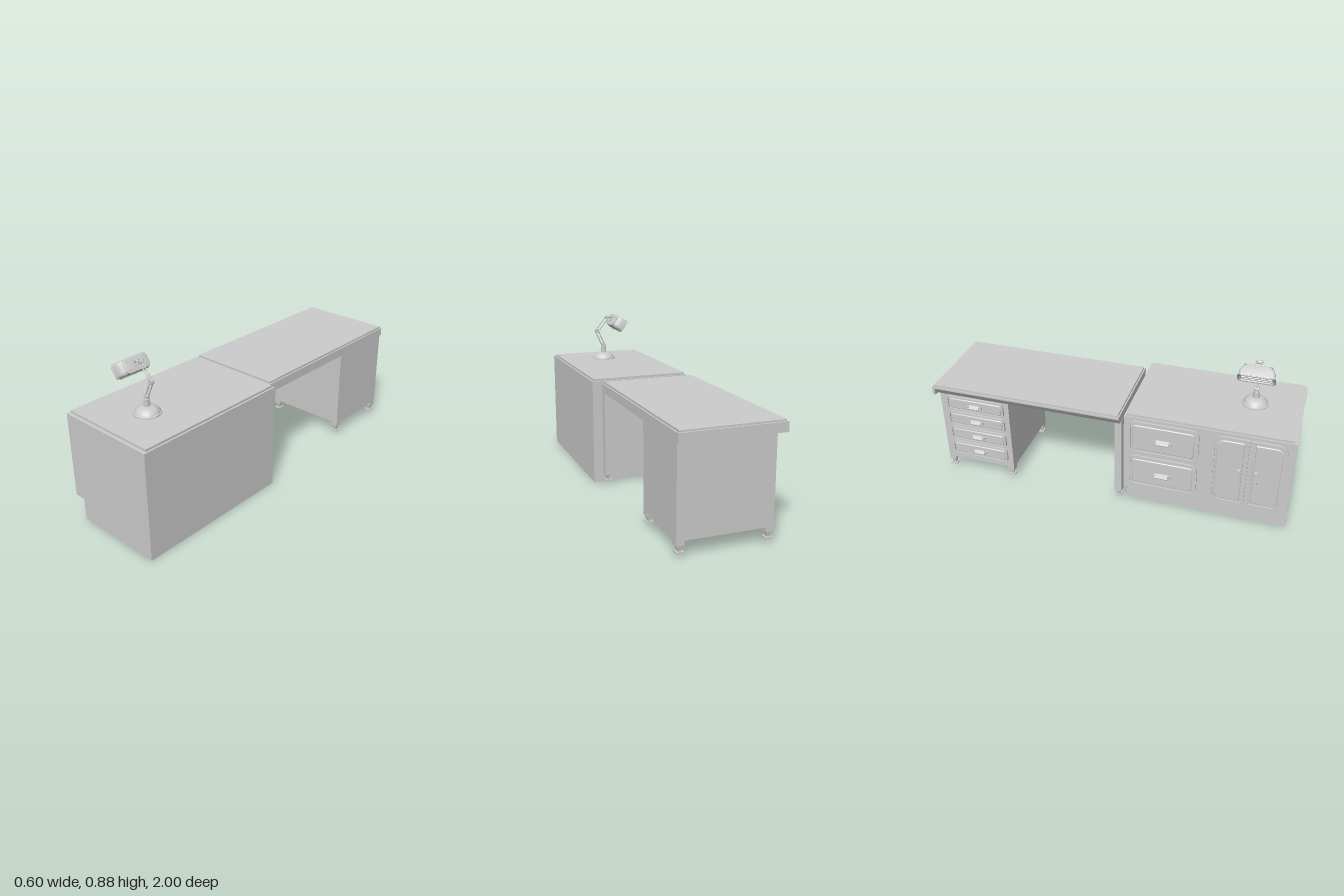
import * as THREE from 'three';
import { toCreasedNormals } from 'three/addons/utils/BufferGeometryUtils.js';

const mat = new THREE.MeshStandardMaterial({ color: 0xcccccc, side: THREE.DoubleSide });

function add(parent, name, geo) {
  const m = new THREE.Mesh(geo, mat);
  m.name = name;
  parent.add(m);
  return m;
}
function group(parent, name) {
  const g = new THREE.Group();
  g.name = name;
  parent.add(g);
  return g;
}
// box given by its limits
function box(parent, name, x0, x1, y0, y1, z0, z1) {
  const m = add(parent, name, new THREE.BoxGeometry(x1 - x0, y1 - y0, z1 - z0));
  m.position.set((x0 + x1) / 2, (y0 + y1) / 2, (z0 + z1) / 2);
  return m;
}
// x-y profile drawn out along z
function prism(parent, name, pts, z0, z1) {
  const shape = new THREE.Shape(pts.map(p => new THREE.Vector2(...p)));
  const m = add(parent, name, new THREE.ExtrudeGeometry(shape, { depth: z1 - z0, bevelEnabled: false }));
  m.position.z = z0;
  return m;
}
// rod between two points
function rod(parent, name, a, b, r) {
  const A = new THREE.Vector3(...a), B = new THREE.Vector3(...b);
  const m = add(parent, name, new THREE.CylinderGeometry(r, r, A.distanceTo(B), 8));
  m.position.copy(A).lerp(B, 0.5);
  m.quaternion.setFromUnitVectors(new THREE.Vector3(0, 1, 0), B.sub(A).normalize());
  return m;
}
// outline of a rounded rectangle, corner radii [bottom start, bottom end, top end, top start]
function roundRect(x0, x1, y0, y1, radii) {
  const pts = [];
  const corners = [[x0, y0, 1, 1], [x1, y0, -1, 1], [x1, y1, -1, -1], [x0, y1, 1, -1]];
  corners.forEach(([x, y, sx, sy], k) => {
    const r = radii[k], steps = r > 0 ? 6 : 0;
    for (let i = 0; i <= steps; i++) {
      const a = Math.PI * (1 + k / 2) + (steps ? i / steps : 0) * Math.PI / 2;
      pts.push(new THREE.Vector2(x + r * (sx + Math.cos(a)), y + r * (sy + Math.sin(a))));
    }
  });
  return pts;
}
// drawer or door front on the -x side: raised frame around a raised field
function frontPanel(parent, name, face, z0, z1, y0, y1, radii, rim) {
  const g = group(parent, name);
  const outline = d => roundRect(z0 + d, z1 - d, y0 + d, y1 - d, radii.map(r => Math.max(0, r - d)));
  const part = (n, shape, depth, bevel) => {
    const geo = new THREE.ExtrudeGeometry(shape, {
      depth, bevelEnabled: bevel > 0,
      bevelSize: bevel, bevelThickness: bevel, bevelOffset: -bevel, bevelSegments: 1 });
    const m = add(g, n, toCreasedNormals(geo, 0.6));
    m.rotation.y = -Math.PI / 2;
    m.position.x = face;
  };
  const frame = new THREE.Shape(outline(0));
  frame.holes.push(new THREE.Path(outline(rim)));
  part('panelBack', new THREE.Shape(outline(0.002)), 0.005, 0);
  part('panelFrame', frame, 0.012, 0);
  part('panelField', new THREE.Shape(outline(rim * 1.7)), 0.006, 0.004);
}
// hooded pull for drawers
function cupPull(parent, x, y, z, w, h) {
  const g = group(parent, 'drawerPull');
  prism(g, 'pullHood', [[0, h * 0.6], [-0.005, h * 0.6], [-0.017, -h * 0.2], [-0.015, -h * 0.4], [0, -h * 0.1]], -w / 2, w / 2);
  for (const s of [-1, 1]) box(g, 'pullTab', -0.007, 0, -h * 0.3, h * 0.4, s * w * 0.6 - 0.006, s * w * 0.6 + 0.006);
  g.position.set(x, y, z);
}
// upright bar handle for doors
function barHandle(parent, x, y, z) {
  const g = group(parent, 'doorHandle');
  box(g, 'handlePlate', x - 0.006, x, y - 0.037, y + 0.037, z - 0.012, z + 0.012);
  box(g, 'handleBar', x - 0.022, x - 0.016, y - 0.037, y + 0.037, z - 0.008, z + 0.008);
  for (const s of [-1, 1]) box(g, 'handlePost', x - 0.017, x, y + s * 0.033 - 0.004, y + s * 0.033 + 0.004, z - 0.008, z + 0.008);
}
// tapered square foot on a plate
function foot(parent, x, z) {
  const g = group(parent, 'foot');
  const stem = add(g, 'footStem', new THREE.CylinderGeometry(0.02, 0.012, 0.032, 4).toNonIndexed());
  stem.geometry.computeVertexNormals();
  stem.rotation.y = Math.PI / 4;
  stem.position.y = 0.042;
  box(g, 'footPlate', -0.019, 0.019, 0.02, 0.027, -0.019, 0.019);
  g.position.set(x, 0, z);
}

function cabinet(root) {
  const g = group(root, 'cabinet');
  prism(g, 'cabinetBody', [[0.3, 0], [0.3, 0.593], [-0.27, 0.593], [-0.27, 0.12], [-0.205, 0.12], [-0.205, 0]], 0.105, 1);
  box(g, 'cabinetTop', -0.262, 0.29, 0.593, 0.605, 0.115, 0.982);
  for (const [y0, y1] of [[0.155, 0.355], [0.375, 0.575]]) {
    frontPanel(g, 'cabinetDrawer', -0.27, 0.13, 0.51, y0, y1, [0.04, 0.04, 0.04, 0.04], 0.014);
    cupPull(g, -0.28, (y0 + y1) / 2 - 0.008, 0.32, 0.07, 0.026);
  }
  frontPanel(g, 'innerDoor', -0.27, 0.58, 0.768, 0.155, 0.575, [0.06, 0, 0, 0.06], 0.014);
  frontPanel(g, 'outerDoor', -0.27, 0.777, 0.965, 0.155, 0.575, [0, 0.06, 0.06, 0], 0.014);
  for (const z of [0.728, 0.817]) barHandle(g, -0.279, 0.353, z);
}

function desk(root) {
  const g = group(root, 'desk');
  // top with a slanted lip on the drawer side
  prism(g, 'deskTop', [[0.25, 0.535], [0.25, 0.585], [-0.295, 0.585], [-0.295, 0.575], [-0.265, 0.535]], -0.988, 0.083);
  box(g, 'deskEndLip', -0.295, 0.25, 0.537, 0.587, -1, -0.985);
  box(g, 'deskSurface', -0.287, 0.242, 0.585, 0.596, -0.99, 0.075);
  // solid end panel and drawer pedestal, each on short corner blocks and feet
  box(g, 'endPanel', -0.245, 0.25, 0.08, 0.536, 0.045, 0.085);
  box(g, 'pedestal', -0.245, 0.25, 0.105, 0.536, -0.985, -0.57);
  for (const [z0, z1] of [[-0.985, -0.97], [-0.585, -0.57]]) box(g, 'pedestalRim', -0.245, 0.25, 0.08, 0.106, z0, z1);
  for (const [x0, x1] of [[-0.245, -0.23], [0.235, 0.25]]) box(g, 'pedestalRim', x0, x1, 0.08, 0.106, -0.985, -0.57);
  for (const [z0, top] of [[0.045, 0.08], [-0.61, 0.106], [-0.985, 0.106]])
    for (const x0 of [-0.245, 0.21]) {
      box(g, 'cornerBlock', x0, x0 + 0.04, 0.057, top, z0, z0 + 0.04);
      foot(g, x0 + 0.02, z0 + 0.02);
    }
  // stack of four drawers
  for (let i = 0; i < 4; i++) {
    const y = 0.115 + i * 0.103;
    frontPanel(g, 'deskDrawer', -0.245, -0.945, -0.6, y, y + 0.093, [0.025, 0.025, 0.025, 0.025], 0.009);
    cupPull(g, -0.255, y + 0.042, -0.772, 0.06, 0.022);
  }
}

// rounded rectangles joined along x, sections are [along, width, height]
function loft(sections, radius) {
  const pos = [], idx = [];
  sections.forEach(([t, w, h], k) => {
    const r = Math.min(radius, h / 2.2);
    const pts = roundRect(-w / 2, w / 2, -h / 2, h / 2, [r, r, r, r]);
    const n = pts.length;
    for (const p of pts) pos.push(t, p.y, -p.x);
    if (k) for (let i = 0; i < n; i++) {
      const a = (k - 1) * n + i, b = (k - 1) * n + (i + 1) % n;
      idx.push(a, b, b + n, a, b + n, a + n);
    }
  });
  const geo = new THREE.BufferGeometry();
  geo.setAttribute('position', new THREE.Float32BufferAttribute(pos, 3));
  geo.setIndex(idx);
  return toCreasedNormals(geo, 0.6);
}

function lamp(root) {
  const g = group(root, 'lamp');
  g.position.z = 0.745;
  const profile = [[0, 0.605], [0.072, 0.605], [0.072, 0.611], [0.066, 0.613], [0.06, 0.624], [0.048, 0.635], [0.032, 0.642],
    [0.017, 0.644], [0.015, 0.68], [0.012, 0.682], [0.012, 0.694], [0, 0.694]];
  const base = add(g, 'lampBase', toCreasedNormals(new THREE.LatheGeometry(profile.map(p => new THREE.Vector2(...p)), 32), 0.6));
  base.position.x = 0.033;
  // paired arms with pivots
  const arms = [[[0.025, 0.69], [0.066, 0.782]], [[0.045, 0.69], [0.086, 0.782]],
    [[0.068, 0.778], [0.0, 0.862]], [[0.086, 0.787], [0.016, 0.874]]];
  for (const [a, b] of arms) rod(g, 'lampArm', [...a, 0], [...b, 0], 0.0035);
  for (const [x, y, r] of [[0.034, 0.692, 0.011], [0.076, 0.784, 0.013], [0.008, 0.868, 0.011]])
    rod(g, 'lampPivot', [x, y, -0.01], [x, y, 0.01], r);
  for (const z of [-0.014, 0.014]) {
    rod(g, 'headBracket', [0.01, 0.87, z], [-0.016, 0.875, z], 0.005);
    rod(g, 'headBracket', [-0.016, 0.875, z], [-0.02, 0.852, z], 0.005);
  }
  rod(g, 'headPin', [0.008, 0.868, -0.018], [0.008, 0.868, 0.018], 0.004);
  // hollow shade tilted down towards -x
  const head = group(g, 'lampHead');
  head.position.set(-0.08, 0.813, 0);
  head.rotation.z = 0.62;
  add(head, 'shade', loft([[0.012, 0.17, 0.064], [0.002, 0.184, 0.072], [0, 0.195, 0.084], [0.007, 0.195, 0.084], [0.008, 0.188, 0.077],
    [0.035, 0.182, 0.079], [0.052, 0.165, 0.076], [0.062, 0.142, 0.072], [0.063, 0.146, 0.075], [0.069, 0.146, 0.075],
    [0.071, 0.13, 0.062], [0.072, 0.002, 0.002]], 0.02));
  box(head, 'diffuser', 0.01, 0.014, -0.032, 0.032, -0.084, 0.084);
  for (const y of [-0.02, 0, 0.02]) box(head, 'diffuserRib', 0.004, 0.012, y - 0.003, y + 0.003, -0.08, 0.08);
  for (const z of [-0.05, 0.05]) for (const y of [-0.02, 0.02]) rod(head, 'bolt', [0.068, y, z], [0.075, y, z], 0.004);
  box(head, 'headMount', 0.068, 0.078, -0.012, 0.022, -0.022, 0.022);
}

export function createModel() {
  const root = new THREE.Group();
  root.name = 'deskWithCabinet';
  cabinet(root);
  desk(root);
  lamp(root);
  return root;
}
